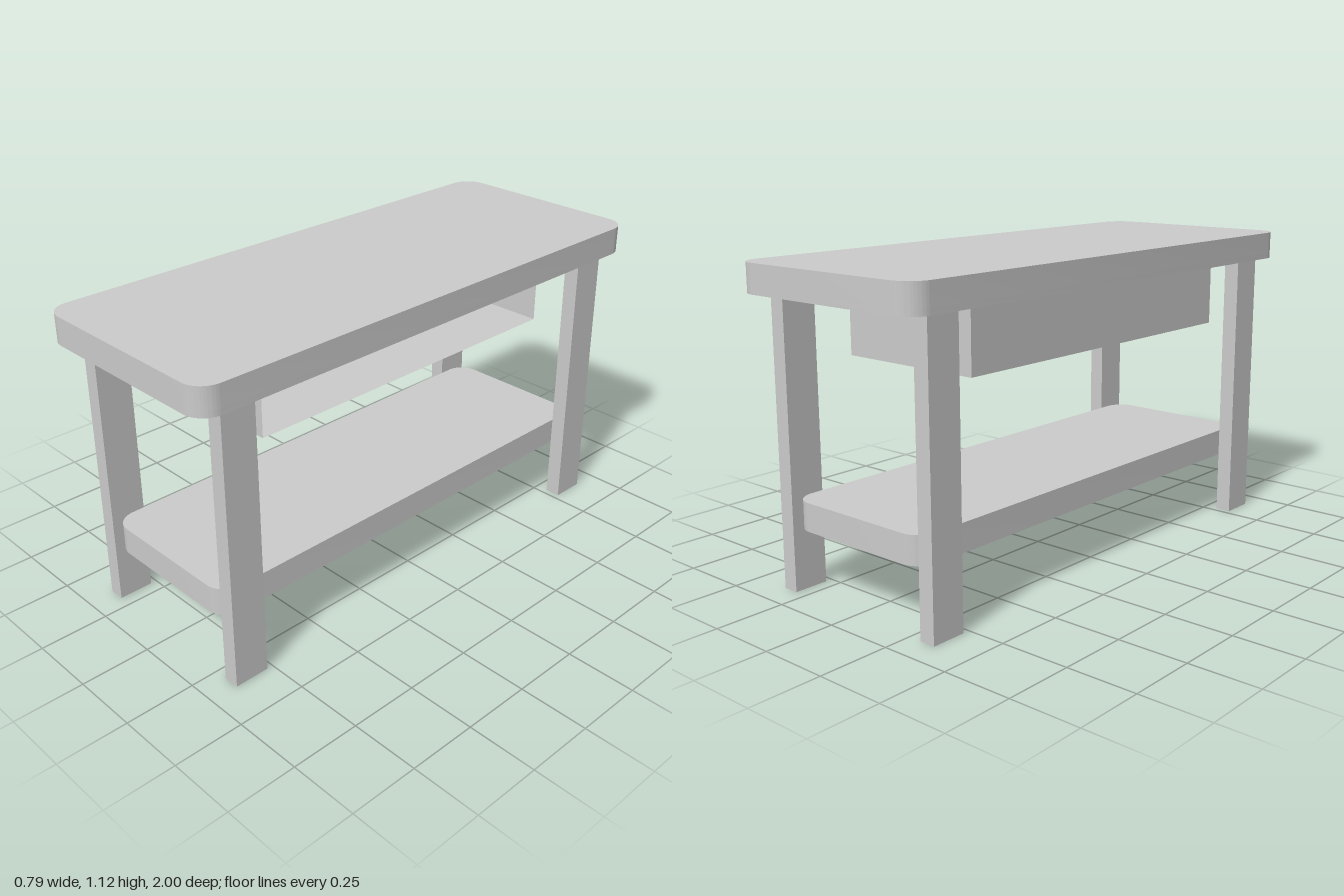
import * as THREE from 'three';
import { toCreasedNormals } from 'three/addons/utils/BufferGeometryUtils.js';

const material = new THREE.MeshStandardMaterial({ color: 0xcccccc });
const thinMaterial = new THREE.MeshStandardMaterial({ color: 0xcccccc, side: THREE.DoubleSide });

// Rounded rectangle with half sizes w, d and corner radius r
function roundedRect(w, d, r, Type = THREE.Shape) {
  const s = new Type();
  s.moveTo(w, r - d);
  s.lineTo(w, d - r);
  s.absarc(w - r, d - r, r, 0, Math.PI / 2);
  s.absarc(r - w, d - r, r, Math.PI / 2, Math.PI);
  s.absarc(r - w, r - d, r, Math.PI, Math.PI * 1.5);
  s.absarc(w - r, r - d, r, Math.PI * 1.5, Math.PI * 2);
  return s;
}

// Horizontal board cut from an outline, between heights y0 and y1
function board(name, shape, y0, y1) {
  let g = new THREE.ExtrudeGeometry(shape, { depth: y1 - y0, bevelEnabled: false, curveSegments: 12 });
  g.rotateX(-Math.PI / 2);
  g = toCreasedNormals(g, 0.6);
  const mesh = new THREE.Mesh(g, material);
  mesh.name = name;
  mesh.position.y = y0;
  return mesh;
}

export function createModel() {
  const group = new THREE.Group();
  const underside = 1.035;

  // Tabletop with a shallow recess underneath
  const top = new THREE.Group();
  top.name = 'tabletop';
  const rim = roundedRect(0.397, 1, 0.08);
  rim.holes.push(roundedRect(0.372, 0.975, 0.055, THREE.Path));
  top.add(board('topPanel', roundedRect(0.397, 1, 0.08), underside, 1.115));
  top.add(board('topRim', rim, 1.015, underside));
  group.add(top);

  // Lower shelf between the legs
  group.add(board('lowerShelf', roundedRect(0.297, 0.895, 0.075), 0.228, 0.328));

  // Four legs
  for (const x of [-0.329, 0.326]) {
    for (const z of [-0.838, 0.836]) {
      const leg = new THREE.Mesh(new THREE.BoxGeometry(0.058, underside, 0.128), material);
      leg.name = 'leg';
      leg.position.set(x, underside / 2, z);
      group.add(leg);
    }
  }

  // Thin-walled storage box under the top, open toward +x
  const box = new THREE.Group();
  box.name = 'storageBox';
  const x0 = -0.302, x1 = 0.25, y0 = 0.782, h = underside - y0, halfZ = 0.665;
  const wall = (name, w, l, rx, ry, x, y, z) => {
    const mesh = new THREE.Mesh(new THREE.PlaneGeometry(w, l), thinMaterial);
    mesh.name = name;
    mesh.rotation.set(rx, ry, 0);
    mesh.position.set(x, y, z);
    box.add(mesh);
  };
  const midX = (x0 + x1) / 2, midY = y0 + h / 2;
  wall('boxFloor', x1 - x0, halfZ * 2, Math.PI / 2, 0, midX, y0, 0);
  wall('boxBack', halfZ * 2, h, 0, -Math.PI / 2, x0, midY, 0);
  wall('boxFrontEnd', x1 - x0, h, 0, 0, midX, midY, halfZ);
  wall('boxRearEnd', x1 - x0, h, 0, Math.PI, midX, midY, -halfZ);
  group.add(box);

  return group;
}
